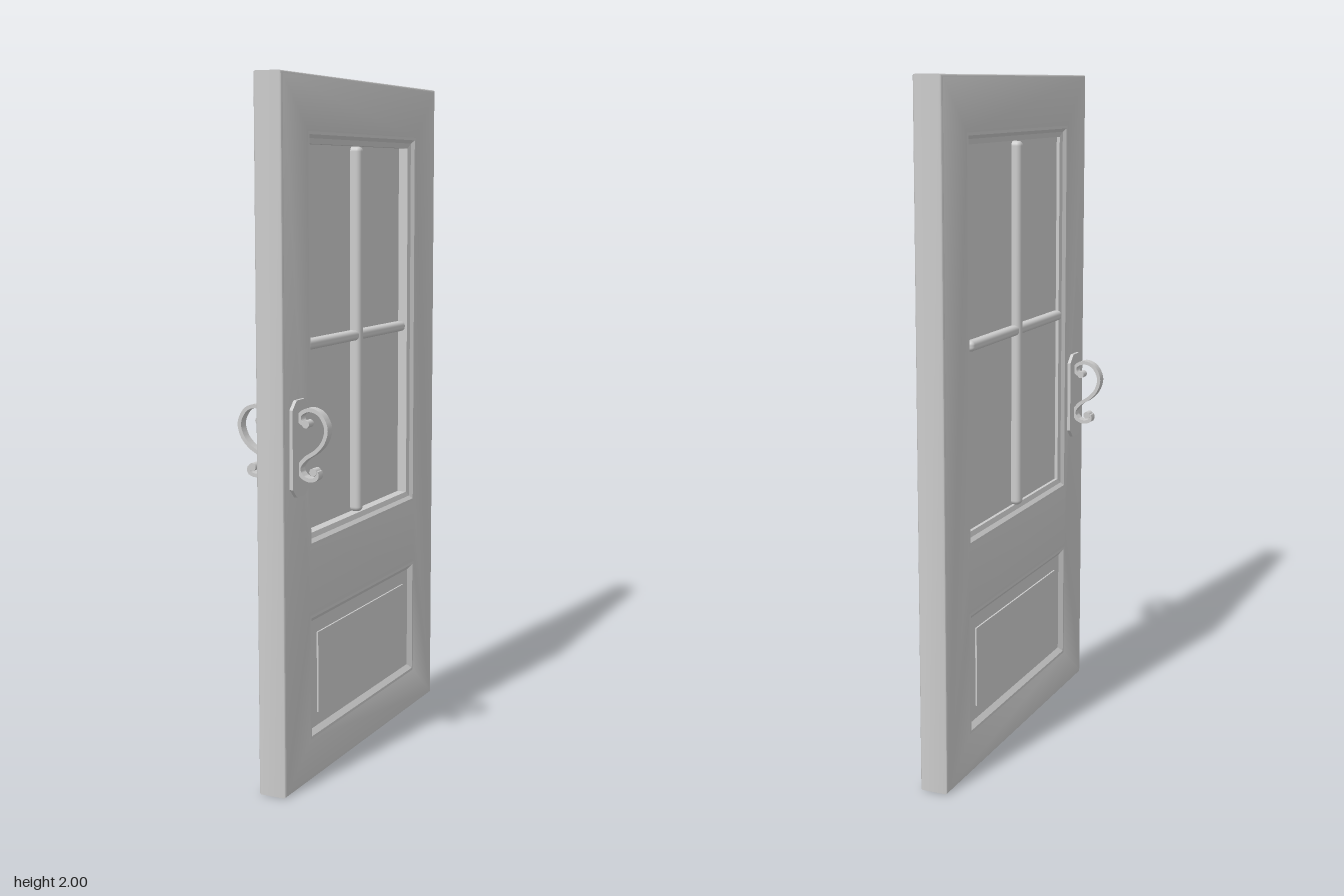
import * as THREE from 'three';
import { RoundedBoxGeometry } from 'three/addons/geometries/RoundedBoxGeometry.js';
import { toCreasedNormals } from 'three/addons/utils/BufferGeometryUtils.js';

const HALF = 0.043;      // half the door thickness
const EDGE = 0.008;      // edge rounding
const grey = new THREE.MeshStandardMaterial({ color: 0xcccccc });

function add(parent, name, geometry, x = 0, y = 0, z = 0) {
  const mesh = new THREE.Mesh(geometry, grey);
  mesh.name = name;
  mesh.position.set(x, y, z);
  parent.add(mesh);
  return mesh;
}

const rectPoints = (w, y0, y1) =>
  [[-w, y0], [w, y0], [w, y1], [-w, y1]].map(([x, y]) => new THREE.Vector2(x, y));

// Rectangular moulding facing +x: each section is [half width, half height, x]
function rectLoft(sections) {
  const corners = [[-1, -1], [-1, 1], [1, 1], [1, -1]];
  const pos = [];
  for (let s = 0; s < sections.length - 1; s++) {
    for (let i = 0; i < 4; i++) {
      const at = (sec, k) => {
        const [w, h, x] = sections[sec];
        const [cz, cy] = corners[k % 4];
        return [x, cy * h, cz * w];
      };
      const a = at(s, i), b = at(s, i + 1), c = at(s + 1, i + 1), d = at(s + 1, i);
      pos.push(...a, ...b, ...c, ...a, ...c, ...d);
    }
  }
  const g = new THREE.BufferGeometry();
  g.setAttribute('position', new THREE.Float32BufferAttribute(pos, 3));
  g.computeVertexNormals();
  return g;
}

// Scrolled strip: a curve thickened in its plane and extruded to a flat band
function scrollGeometry(points, thickness, width) {
  const curve = new THREE.CatmullRomCurve3(points.map(([x, y]) => new THREE.Vector3(x, y, 0)));
  const left = [], right = [];
  for (let i = 0; i <= 72; i++) {
    const p = curve.getPointAt(i / 72), t = curve.getTangentAt(i / 72);
    const nx = -t.y * thickness / 2, ny = t.x * thickness / 2;
    left.push(new THREE.Vector2(p.x + nx, p.y + ny));
    right.unshift(new THREE.Vector2(p.x - nx, p.y - ny));
  }
  const g = new THREE.ExtrudeGeometry(new THREE.Shape([...left, ...right]), { depth: width, bevelEnabled: false });
  g.translate(0, 0, -width / 2);
  return toCreasedNormals(g, 0.7);
}

// Handle with its back plate, projecting towards +x
function createHandle() {
  const handle = new THREE.Group();
  const w = 0.05, h = 0.135, c = 0.025;
  const outline = [[-w, -h + c], [-w + c, -h], [w - c, -h], [w, -h + c],
    [w, h - c], [w - c, h], [-w + c, h], [-w, h - c]].map(([x, y]) => new THREE.Vector2(x, y));
  const plate = new THREE.ExtrudeGeometry(new THREE.Shape(outline), { depth: 0.011, bevelEnabled: false });
  plate.rotateY(Math.PI / 2);
  add(handle, 'backPlate', plate, HALF - 0.001, 0.985, 0);

  const path = [[0.074, 1.054], [0.059, 1.058], [0.055, 1.078], [0.083, 1.094], [0.116, 1.083],
    [0.136, 1.045], [0.127, 1.007], [0.104, 0.98], [0.068, 0.955], [0.052, 0.929],
    [0.062, 0.908], [0.085, 0.899], [0.106, 0.906], [0.107, 0.92], [0.096, 0.922]];
  add(handle, 'scrollGrip', scrollGeometry(path, 0.011, 0.028));

  // Rolled ends of the scroll
  for (const [x, y] of [path[0], path[path.length - 1]]) {
    const roll = new THREE.CylinderGeometry(0.011, 0.011, 0.03, 20);
    roll.rotateX(Math.PI / 2);
    add(handle, 'scrollEnd', roll, x, y, 0);
  }
  return handle;
}

export function createModel() {
  const door = new THREE.Group();
  door.name = 'door';

  // Slab with openings for the window and the lower panel
  const shape = new THREE.Shape(rectPoints(0.522 - EDGE, EDGE, 2 - EDGE));
  for (const [y0, y1] of [[0.698, 1.838], [0.13, 0.48]]) {
    shape.holes.push(new THREE.Path(rectPoints(0.36 + EDGE, y0 - EDGE, y1 + EDGE).reverse()));
  }
  const depth = 2 * (HALF - EDGE);
  const slab = new THREE.ExtrudeGeometry(shape, {
    depth, bevelThickness: EDGE, bevelSize: EDGE, bevelSegments: 4
  });
  slab.translate(0, 0, -depth / 2);
  slab.rotateY(-Math.PI / 2);
  add(door, 'slab', toCreasedNormals(slab, 0.6));

  // Sloped mouldings and the raised lower panel, on both faces
  const windowMoulding = rectLoft([
    [0.368, 0.578, HALF], [0.36, 0.57, HALF], [0.35, 0.56, 0.034],
    [0.335, 0.545, 0.03], [0.335, 0.545, 0]
  ]);
  const lowerPanel = rectLoft([
    [0.368, 0.183, HALF], [0.36, 0.175, HALF], [0.345, 0.16, 0.031],
    [0.305, 0.12, 0.031], [0.305, 0.12, 0.036], [0, 0, 0.036]
  ]);
  for (const turn of [0, Math.PI]) {
    add(door, 'windowMoulding', windowMoulding, 0, 1.268, 0).rotation.y = turn;
    add(door, 'lowerPanel', lowerPanel, 0, 0.305, 0).rotation.y = turn;
  }

  // Glazing and its crossing bars, set slightly towards one face
  add(door, 'glass', new THREE.BoxGeometry(0.02, 1.1, 0.68), -0.01, 1.268, 0);
  add(door, 'verticalBar', new RoundedBoxGeometry(0.078, 1.09, 0.034, 4, 0.014), -0.008, 1.267, 0);
  add(door, 'horizontalBar', new RoundedBoxGeometry(0.07, 0.03, 0.67, 4, 0.012), -0.008, 1.258, 0);

  // One handle on each face
  for (const [name, turn, z] of [['leftHandle', 0, 0.438], ['rightHandle', Math.PI, 0.434]]) {
    const handle = createHandle();
    handle.name = name;
    handle.rotation.y = turn;
    handle.position.z = z;
    door.add(handle);
  }
  return door;
}
